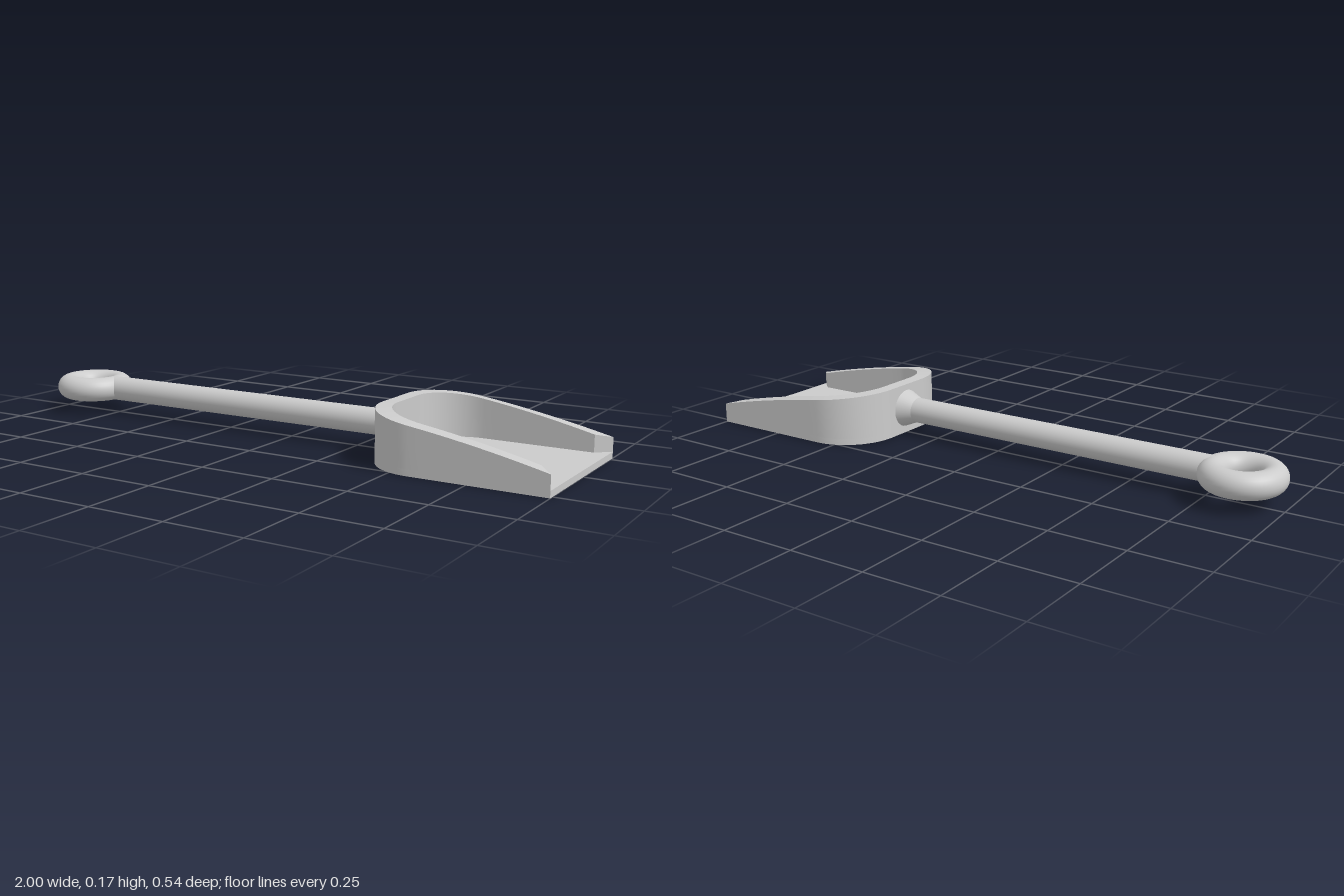
import * as THREE from 'three';
import { toCreasedNormals } from 'three/addons/utils/BufferGeometryUtils.js';

const FLOOR = 0.021, BACK = 0.385, AXIS_Y = 0.087;
const rimHeight = x => 0.172 - 0.1 * (x - BACK) - 0.115 * (x - BACK) ** 2;

// Stations along the wall: outer and inner plan points, one half then mirrored
function wallStations() {
  const half = [{ o: [1, 0.268], i: [1, 0.268] }];
  const steps = 8, arc = 14;
  for (let k = 0; k < steps; k++) {
    const t = k / steps;
    half.push({
      o: [THREE.MathUtils.lerp(0.955, 0.565, t), 0.268],
      i: [THREE.MathUtils.lerp(0.955, 0.59, t), 0.225],
    });
  }
  for (let k = 0; k <= arc; k++) {
    const a = (k / arc) * Math.PI / 2, s = Math.sin(a), c = Math.cos(a);
    half.push({
      o: [0.565 - 0.18 * s, 0.085 + 0.183 * c],
      i: [0.59 - 0.16 * s, 0.07 + 0.155 * c],
    });
  }
  const flip = ([x, z]) => [x, -z];
  return [...half, ...half.slice().reverse().map(p => ({ o: flip(p.o), i: flip(p.i) }))];
}

// Sweep of outer face, sloping rim and inner face
function wallGeometry(stations) {
  const pos = [], index = [];
  stations.forEach(({ o, i }, n) => {
    const h = rimHeight(o[0]);
    pos.push(o[0], FLOOR, o[1], o[0], h, o[1], i[0], h, i[1], i[0], FLOOR, i[1]);
    if (n === stations.length - 1) return;
    for (let k = 0; k < 3; k++) {
      const a = n * 4 + k, d = a + 4;
      index.push(a, a + 1, d + 1, a, d + 1, d);
    }
  });
  const g = new THREE.BufferGeometry();
  g.setAttribute('position', new THREE.Float32BufferAttribute(pos, 3));
  g.setIndex(index);
  return toCreasedNormals(g, Math.PI / 6);
}

export function createModel() {
  const group = new THREE.Group();
  const material = new THREE.MeshStandardMaterial({ color: 0xcccccc });
  const add = (name, geometry, x = 0, y = 0) => {
    const mesh = new THREE.Mesh(geometry, material);
    mesh.name = name;
    mesh.position.set(x, y, 0);
    group.add(mesh);
  };

  // Scoop: flat floor plate with a wall around three sides
  const stations = wallStations();
  const outline = new THREE.Shape(stations.map(s => new THREE.Vector2(...s.o)));
  const floor = new THREE.ExtrudeGeometry(outline, { depth: FLOOR, bevelEnabled: false });
  floor.rotateX(Math.PI / 2);
  add('scoopFloor', toCreasedNormals(floor, Math.PI / 6), 0, FLOOR);
  add('scoopWall', wallGeometry(stations));

  // Handle shaft, flaring where it meets the scoop
  const rod = (r0, r1, x0, x1) =>
    new THREE.CylinderGeometry(r1, r0, x1 - x0, 40).rotateZ(-Math.PI / 2).translate((x0 + x1) / 2, 0, 0);
  add('handleShaft', rod(0.043, 0.043, -0.775, 0.34), 0, AXIS_Y);
  add('handleFlare', rod(0.043, 0.067, 0.335, 0.392), 0, AXIS_Y);

  // Hanging ring
  add('handleRing', new THREE.TorusGeometry(0.0925, 0.0425, 28, 56).rotateX(Math.PI / 2), -0.865, AXIS_Y);
  return group;
}
